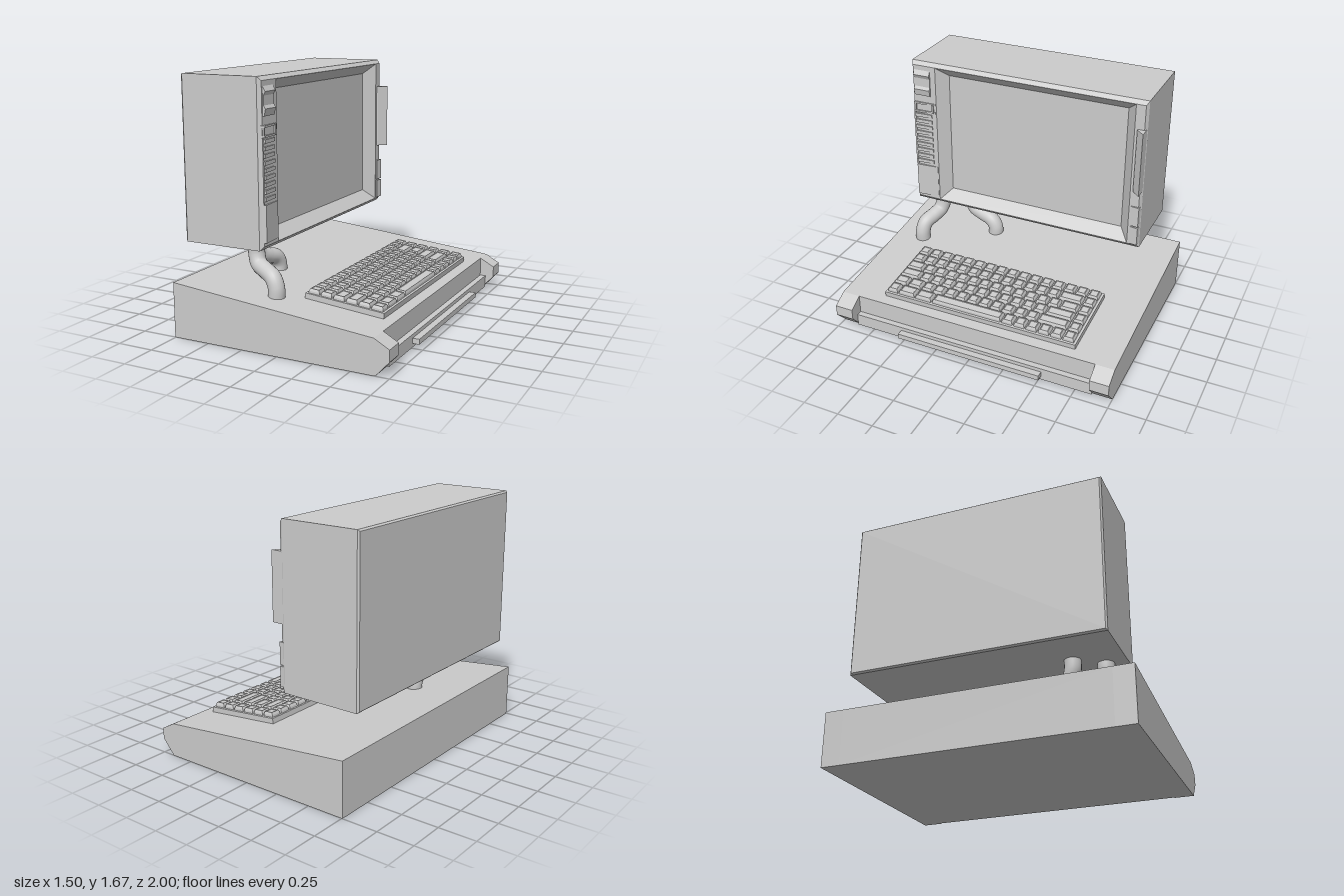
import * as THREE from 'three';

const flat = new THREE.MeshStandardMaterial({ color: 0xcccccc, flatShading: true });
const smooth = new THREE.MeshStandardMaterial({ color: 0xcccccc });

function add(parent, name, geometry, material = flat) {
  const mesh = new THREE.Mesh(geometry, material);
  mesh.name = name;
  parent.add(mesh);
  return mesh;
}

// Box given by its limits on each axis
function box(x0, x1, y0, y1, z0, z1) {
  return new THREE.BoxGeometry(x1 - x0, y1 - y0, z1 - z0)
    .translate((x0 + x1) / 2, (y0 + y1) / 2, (z0 + z1) / 2);
}

function extrude(points, depth) {
  const shape = new THREE.Shape(points.map(p => new THREE.Vector2(...p)));
  return new THREE.ExtrudeGeometry(shape, { depth, bevelEnabled: false });
}

// Side profile of [x, y] points, swept along z
const extrudeZ = (points, z0, z1) => extrude(points, z1 - z0).translate(0, 0, z0);

// Plan outline of [x, z] points, swept along y
const extrudeY = (points, y0, y1) =>
  extrude(points.map(([x, z]) => [x, -z]), y1 - y0).rotateX(-Math.PI / 2).translate(0, y0, 0);

// Closed loft through rectangles [height, x0, x1, z0, z1] stacked along y
function loftRects(rings) {
  const pos = [], index = [];
  for (const [h, x0, x1, z0, z1] of rings) {
    pos.push(x0, h, z0, x0, h, z1, x1, h, z1, x1, h, z0);
  }
  for (let i = 0; i < rings.length - 1; i++) {
    for (let j = 0; j < 4; j++) {
      const a = i * 4 + j, b = i * 4 + (j + 1) % 4;
      index.push(a, b, b + 4, a, b + 4, a + 4);
    }
  }
  const t = (rings.length - 1) * 4;
  index.push(0, 2, 1, 0, 3, 2, t, t + 1, t + 2, t, t + 2, t + 3);
  const g = new THREE.BufferGeometry();
  g.setAttribute('position', new THREE.Float32BufferAttribute(pos, 3));
  g.setIndex(index);
  const out = g.toNonIndexed();
  out.computeVertexNormals();
  return out;
}

function makeBase() {
  const base = new THREE.Group();
  base.name = 'base';
  add(base, 'baseBody', extrudeZ([[-0.755, 0], [0.65, 0], [0.65, 0.23], [-0.755, 0.365]], -0.87, 0.87));
  // Full-length end cheeks on both sides of the front notch
  const cheek = [[-0.755, 0], [0.66, 0], [0.75, 0.1], [0.75, 0.175], [0.65, 0.23], [-0.755, 0.365]];
  add(base, 'leftCheek', extrudeZ(cheek, 0.87, 1));
  add(base, 'rightCheek', extrudeZ(cheek, -1, -0.87));
  add(base, 'frontBar', box(0.64, 0.69, 0.015, 0.1, -0.87, 0.87));
  add(base, 'frontHandle', box(0.68, 0.735, 0.04, 0.075, -0.52, 0.52));
  return base;
}

function makeKeyboard() {
  const keyboard = new THREE.Group();
  keyboard.name = 'keyboard';
  const ones = n => Array(n).fill(1);
  // Key widths of each row, from the right end to the left end
  const rows = [
    ones(16),
    [1, 2, ...ones(13)],
    [1, 1.5, ...ones(12), 1.5],
    [1, 2.25, ...ones(11), 1.75],
    [1, 2.5, ...ones(10), 1.25, 1.25],
    [...ones(6), 6, 1.5, 1.5, 1],
  ];
  const unit = 0.0866, pitch = 0.0876;
  add(keyboard, 'keyboardPlate', box(0, 0.545, -0.01, 0.036, -0.705, 0.7));
  rows.forEach((widths, r) => {
    let z = -0.694;
    const x0 = 0.014 + r * pitch, x1 = x0 + 0.078;
    for (const w of widths) {
      const a = z + 0.005, b = z + w * unit - 0.005;
      const ring = (h, d) => [h, x0 + d, x1 - d, a + d, b - d];
      // Tapered cap with a dished top
      add(keyboard, 'key', loftRects([ring(0.03, 0), ring(0.05, 0.002), ring(0.066, 0.009),
        ring(0.066, 0.012), ring(0.063, 0.015)]));
      z += w * unit;
    }
  });
  keyboard.position.set(0.032, 0.289, 0);
  keyboard.rotation.z = -Math.atan(0.0961);
  return keyboard;
}

function makeMonitor() {
  const monitor = new THREE.Group();
  monitor.name = 'monitor';
  // Case, front bevel, sloping screen surround and screen in one loft towards +x
  const ring = (x, y0, y1, z0, z1) => [x, -y1, -y0, z0, z1];
  add(monitor, 'caseAndScreen', loftRects([
    ring(-0.755, 0.61, 1.665, -0.84, 0.84),
    ring(-0.743, 0.6, 1.675, -0.85, 0.85),
    ring(-0.2, 0.6, 1.675, -0.85, 0.85),
    ring(-0.175, 0.627, 1.65, -0.835, 0.835),
    ring(-0.175, 0.628, 1.649, -0.77, 0.664),
    ring(-0.25, 0.7, 1.58, -0.7, 0.594),
  ]).rotateZ(-Math.PI / 2));

  // Control strip on the left: lower cover, vent slats, port and rocker switch
  const wedge = [[-0.2, 0.847], [-0.158, 0.83], [-0.172, 0.67], [-0.2, 0.67]];
  add(monitor, 'lowerCover', extrudeY(wedge, 0.65, 0.89));
  add(monitor, 'ventEdge', extrudeY([[-0.2, 0.847], [-0.17, 0.84], [-0.17, 0.825], [-0.2, 0.825]], 0.89, 1.3));
  for (let i = 0; i < 9; i++) {
    const y = 0.912 + i * 0.0447;
    add(monitor, 'ventSlat', extrudeY([[-0.19, 0.83], [-0.16, 0.825], [-0.168, 0.7], [-0.19, 0.7]], y, y + 0.024));
  }
  add(monitor, 'portFrameTop', extrudeY(wedge, 1.367, 1.38));
  add(monitor, 'portFrameBottom', extrudeY(wedge, 1.305, 1.318));
  for (const z of [0.685, 0.82]) add(monitor, 'portFrameSide', box(-0.19, -0.163, 1.31, 1.375, z, z + 0.013));
  add(monitor, 'rockerSwitch', extrudeZ([[-0.19, 1.64], [-0.155, 1.585], [-0.168, 1.56], [-0.168, 1.5],
    [-0.155, 1.48], [-0.165, 1.435], [-0.19, 1.43]], 0.705, 0.825));

  // Right strip: upright fin and two buttons
  add(monitor, 'sideFin', extrudeY([[-0.2, -0.847], [-0.113, -0.845], [-0.165, -0.79], [-0.2, -0.785]], 1.035, 1.48));
  for (const [y0, y1] of [[0.775, 0.92], [0.635, 0.765]]) {
    add(monitor, 'sideButton', extrudeY([[-0.2, -0.847], [-0.16, -0.842], [-0.168, -0.785], [-0.2, -0.785]], y0, y1));
  }
  return monitor;
}

// Bent pipe through a few points
function neck(points) {
  const curve = new THREE.CatmullRomCurve3(points.map(p => new THREE.Vector3(...p)));
  return new THREE.TubeGeometry(curve, 48, 0.054, 20);
}

export function createModel() {
  const model = new THREE.Group();
  model.name = 'desktopComputer';
  model.add(makeBase(), makeKeyboard(), makeMonitor());
  add(model, 'frontNeck', neck([[-0.31, 0.64, 0.71], [-0.31, 0.54, 0.71], [-0.285, 0.48, 0.725],
    [-0.22, 0.45, 0.75], [-0.15, 0.42, 0.78], [-0.12, 0.36, 0.79], [-0.12, 0.27, 0.79]]), smooth);
  add(model, 'rearNeck', neck([[-0.43, 0.64, 0.53], [-0.43, 0.53, 0.53], [-0.42, 0.475, 0.505],
    [-0.405, 0.445, 0.43], [-0.39, 0.42, 0.35], [-0.385, 0.37, 0.316], [-0.385, 0.29, 0.316]]), smooth);
  return model;
}
